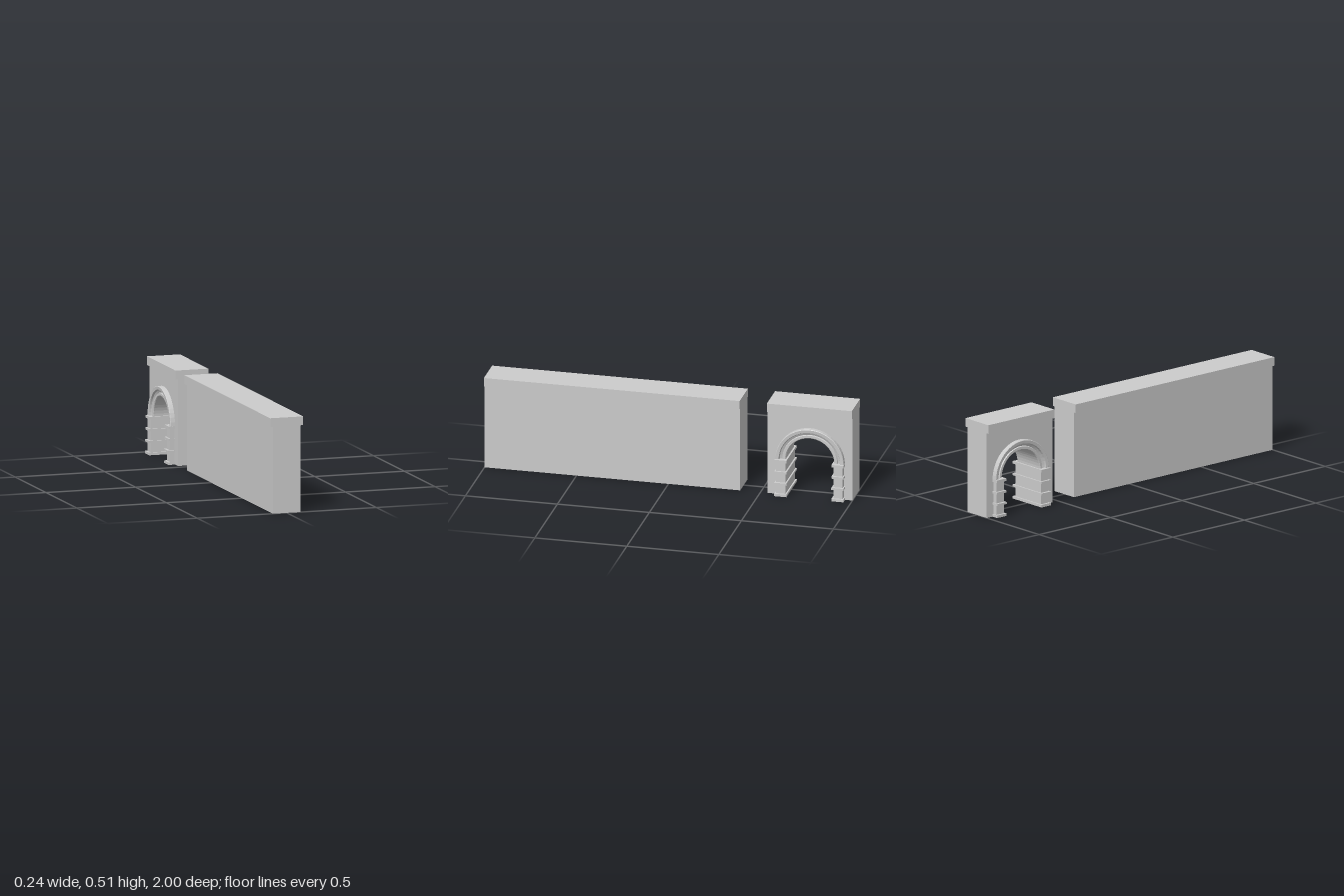
import * as THREE from 'three';

const material = new THREE.MeshStandardMaterial({ color: 0xcccccc, flatShading: true });
const BODY_TOP = 0.465, TOP = 0.512, BODY_HALF = 0.078, CAP_HALF = 0.092;
const ARCH_Z = -0.772, SPRING_Y = 0.202;

function add(parent, name, geometry) {
  const mesh = new THREE.Mesh(geometry, material);
  mesh.name = name;
  parent.add(mesh);
  return mesh;
}

// Box given by its half width in x and its y and z ranges
function block(parent, name, halfX, y0, y1, z0, z1) {
  const geometry = new THREE.BoxGeometry(halfX * 2, y1 - y0, z1 - z0);
  geometry.translate(0, (y0 + y1) / 2, (z0 + z1) / 2);
  return add(parent, name, geometry);
}

export function createModel() {
  const model = new THREE.Group();
  model.name = 'wallWithArchway';

  // Long solid wall with overhanging coping
  const wall = new THREE.Group();
  wall.name = 'longWall';
  block(wall, 'wallBody', BODY_HALF, 0, BODY_TOP, -0.39, 1);
  block(wall, 'wallCoping', CAP_HALF, BODY_TOP, TOP, -0.39, 1);
  model.add(wall);

  // Short gate wall with an arched opening, drawn in z and y
  const gate = new THREE.Group();
  gate.name = 'gate';
  const shape = new THREE.Shape();
  const r = 0.15;
  shape.moveTo(-1, 0);
  shape.lineTo(ARCH_Z - r, 0);
  shape.lineTo(ARCH_Z - r, SPRING_Y);
  shape.absarc(ARCH_Z, SPRING_Y, r, Math.PI, 0, true);
  shape.lineTo(ARCH_Z + r, 0);
  shape.lineTo(-0.538, 0);
  shape.lineTo(-0.538, BODY_TOP);
  shape.lineTo(-1, BODY_TOP);
  const body = new THREE.ExtrudeGeometry(shape, {
    depth: BODY_HALF * 2, bevelEnabled: false, curveSegments: 24,
  });
  body.translate(0, 0, -BODY_HALF);
  body.rotateY(-Math.PI / 2);
  add(gate, 'gateBody', body);
  block(gate, 'gateCoping', CAP_HALF, BODY_TOP, TOP, -1, -0.538);

  // Stepped arch moulding: half a turn of a closed [radius, half width] profile
  const side = [
    [0.187, 0.101], [0.184, 0.104], [0.168, 0.102], [0.164, 0.092],
    [0.152, 0.086], [0.149, 0.092], [0.136, 0.092], [0.132, 0.088],
  ];
  const profile = [
    ...side.map(([rad, x]) => new THREE.Vector2(rad, x)),
    ...side.slice().reverse().map(([rad, x]) => new THREE.Vector2(rad, -x)),
  ];
  profile.push(profile[0].clone());
  const arch = new THREE.LatheGeometry(profile, 24, 0, Math.PI);
  arch.rotateZ(Math.PI / 2);
  arch.translate(0, SPRING_Y, ARCH_Z);
  add(gate, 'archMoulding', arch);

  // Piers running through the opening, ringed by projecting bands
  const bands = [
    [0, 0.014, 0.116], [0.066, 0.077, 0.118], [0.128, 0.140, 0.115], [0.192, 0.206, 0.115],
  ];
  for (const [name, s] of [['frontPier', 1], ['backPier', -1]]) {
    const pier = new THREE.Group();
    pier.name = name;
    const span = (a, b) => [ARCH_Z + s * a, ARCH_Z + s * b].sort((p, q) => p - q);
    block(pier, 'pierShaft', 0.104, 0.001, 0.2, ...span(0.13, 0.181));
    for (const [y0, y1, half] of bands) {
      block(pier, 'pierBand', half, y0, y1, ...span(0.122, 0.188));
    }
    gate.add(pier);
  }
  model.add(gate);

  return model;
}
